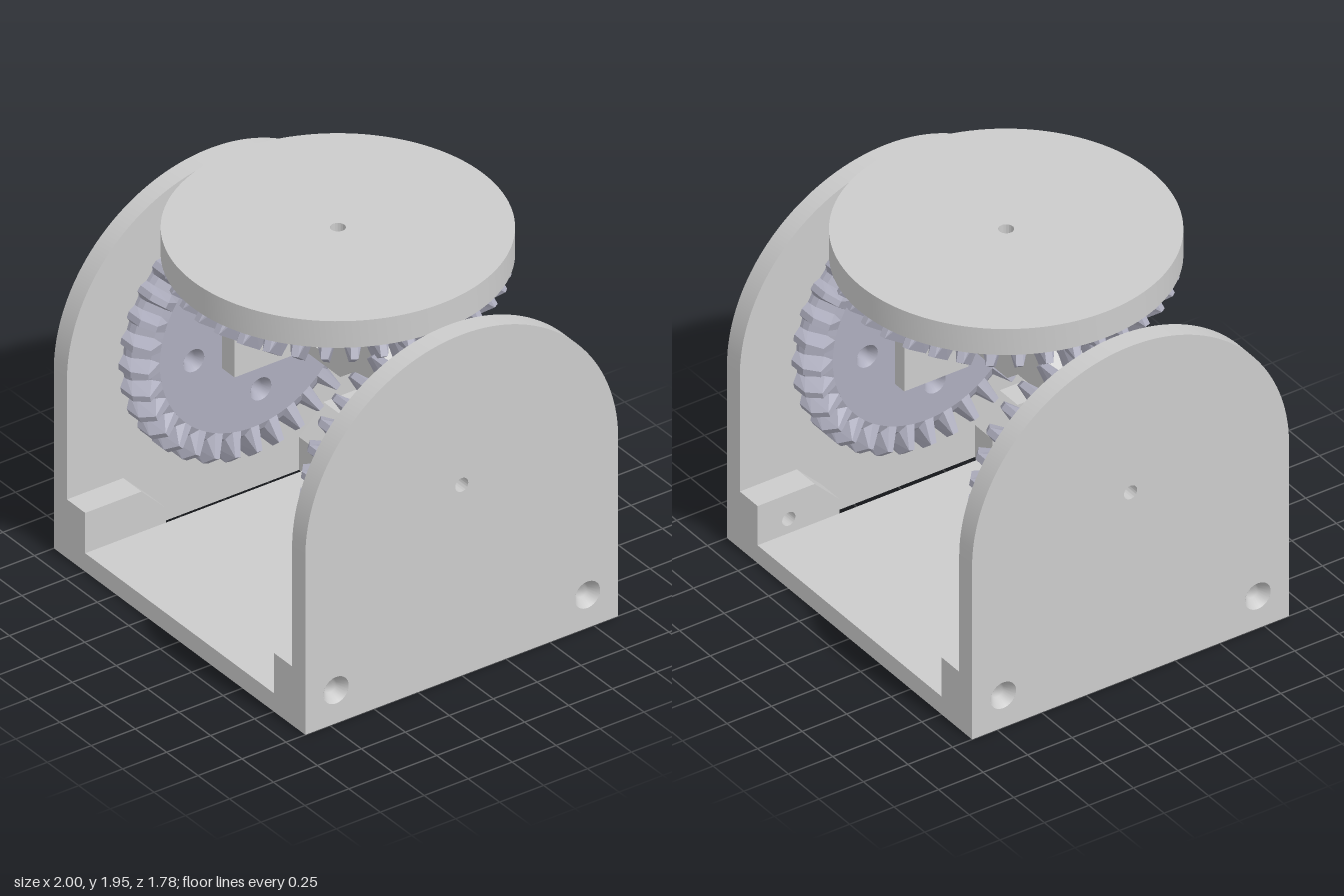
import * as THREE from 'three';
import { toCreasedNormals } from 'three/addons/utils/BufferGeometryUtils.js';

const grey = new THREE.MeshStandardMaterial({ color: 0xcccccc });
const greyOpen = new THREE.MeshStandardMaterial({ color: 0xcccccc, side: THREE.DoubleSide });
const gearMat = new THREE.MeshStandardMaterial({ color: 0xadadbd, flatShading: true });
const gearOpen = new THREE.MeshStandardMaterial({ color: 0xadadbd, side: THREE.DoubleSide });

const AXIS_Y = 1.04;   // height of the side gear axis
const OFF = 0.015;     // sideways offset of turntable and carriage
const BORE = 0.037;

function add(parent, name, geometry, material = grey) {
  const mesh = new THREE.Mesh(geometry, material);
  mesh.name = name;
  parent.add(mesh);
  return mesh;
}

// Outline from points, with round holes given as [x, y, radius]
function outline(points, holes = []) {
  const shape = new THREE.Shape(points.map(([x, y]) => new THREE.Vector2(x, y)));
  return drill(shape, holes);
}
function drill(shape, holes) {
  for (const [x, y, r] of holes) shape.holes.push(new THREE.Path().absarc(x, y, r, 0, Math.PI * 2, true));
  return shape;
}
function disc(radius, holes) {
  return drill(new THREE.Shape().absarc(0, 0, radius, 0, Math.PI * 2, false), holes);
}
function extrude(shape, depth, curveSegments = 32) {
  const g = new THREE.ExtrudeGeometry(shape, { depth, bevelEnabled: false, curveSegments });
  return toCreasedNormals(g, 0.5);
}
// Extrusion along x: the shape's x runs along -z
const extrudeX = (shape, depth, x) => extrude(shape, depth, 48).rotateY(Math.PI / 2).translate(x, 0, 0);

// Countersunk screw hole lining along +z, wide end at z = 0
function countersink(wide, narrow, sink, depth) {
  const pts = [[wide, 0], [narrow, sink], [narrow, depth], [wide, depth]].map(([r, y]) => new THREE.Vector2(r, y));
  return new THREE.LatheGeometry(pts, 24).rotateX(Math.PI / 2);
}

// Toothed ring around z: root and tip profiles are [radius, z] lists of equal length
function toothRing(teeth, root, tip) {
  const stations = [];
  const pitch = (Math.PI * 2) / teeth;
  for (let t = 0; t < teeth; t++) {
    for (const [f, profile] of [[-0.33, root], [-0.12, tip], [0.12, tip], [0.33, root]]) {
      const a = (t + f) * pitch;
      stations.push(profile.map(([r, z]) => [r * Math.cos(a), r * Math.sin(a), z]));
    }
  }
  const pos = [];
  stations.forEach((p, i) => {
    const q = stations[(i + 1) % stations.length];
    for (let k = 0; k < p.length - 1; k++) {
      pos.push(...p[k], ...q[k], ...q[k + 1], ...p[k], ...q[k + 1], ...p[k + 1]);
    }
  });
  const g = new THREE.BufferGeometry();
  g.setAttribute('position', new THREE.Float32BufferAttribute(pos, 3));
  g.computeVertexNormals();
  return g;
}

// Bevel gear with its back at z = 0 and its toothed face towards +z
function makeGear(name, teeth, root, tip, holeTurn) {
  const gear = new THREE.Group();
  gear.name = name;
  const [radius, thick] = root[root.length - 1];
  const holes = [0, 1, 2, 3].map((i) => {
    const a = holeTurn + (i * Math.PI) / 2;
    return [0.34 * Math.cos(a), 0.34 * Math.sin(a), 0.06];
  });
  add(gear, 'gearBody', extrude(disc(radius, [...holes, [0, 0, BORE]]), thick, 48), gearMat);
  add(gear, 'gearTeeth', toothRing(teeth, root, tip), gearMat);
  for (const [x, y] of holes) {
    const lining = add(gear, 'gearScrewHole', countersink(0.06, 0.033, 0.04, thick), gearOpen);
    lining.rotation.x = Math.PI;
    lining.position.set(x, y, thick);
  }
  return gear;
}

export function createModel() {
  const model = new THREE.Group();
  model.name = 'bevelGearTurntable';

  // Base floor between the side slots
  add(model, 'baseFloor', new THREE.BoxGeometry(1.5, 0.1, 1.78).translate(0, 0.05, 0));

  for (const s of [-1, 1]) {
    // Arched side plate with pivot hole and two screw holes
    const arch = new THREE.Shape();
    arch.moveTo(-0.89, 0);
    arch.lineTo(0.89, 0);
    arch.lineTo(0.89, 0.97);
    arch.absarc(0, 0.97, 0.89, 0, Math.PI, false);
    arch.closePath();
    drill(arch, [[0, AXIS_Y, BORE], [-0.715, 0.18, 0.072], [0.715, 0.18, 0.072]]);
    add(model, 'sidePlate', extrudeX(arch, 0.105, s > 0 ? 0.895 : -1));

    for (const e of [-1, 1]) {
      // Corner block with sloped inner end
      const block = outline([[0.89, 0], [0.89, 0.32], [0.57, 0.32], [0.43, 0.18], [0.43, 0]]
        .map(([z, y]) => [z * e, y]), [[0.715 * e, 0.18, BORE]]);
      add(model, 'cornerBlock', extrudeX(block, 0.145, s > 0 ? 0.75 : -0.895));

      const lining = add(model, 'plateScrewHole', countersink(0.072, BORE, 0.05, 0.105), greyOpen);
      lining.rotation.y = (-s * Math.PI) / 2;
      lining.position.set(s, 0.18, 0.715 * e);
    }

    // Side gear facing inwards
    const gear = makeGear('sideGear', 32,
      [[0.53, 0], [0.65, 0], [0.65, 0.02], [0.64, 0.05], [0.57, 0.11], [0.53, 0.125]],
      [[0.53, 0], [0.66, 0], [0.69, 0.02], [0.69, 0.115], [0.635, 0.18], [0.53, 0.125]], 0.13);
    gear.rotation.y = (-s * Math.PI) / 2;
    gear.position.set(s * 0.785, AXIS_Y, 0);
    model.add(gear);
  }

  // Turntable disc with the top gear beneath it
  const table = new THREE.Group();
  table.name = 'turntable';
  table.position.set(OFF, 1.8, 0);
  add(table, 'tableDisc', extrude(disc(0.82, [[0, 0, BORE]]), 0.145, 64).rotateX(-Math.PI / 2));
  const topGear = makeGear('topGear', 36,
    [[0.56, 0], [0.73, 0], [0.73, 0.03], [0.61, 0.11], [0.56, 0.125]],
    [[0.56, 0], [0.76, 0], [0.805, 0.075], [0.66, 0.18], [0.56, 0.125]], 0);
  topGear.rotation.x = Math.PI / 2;
  table.add(topGear);
  model.add(table);

  // Carriage that holds the three gears
  const carriage = new THREE.Group();
  carriage.name = 'carriage';
  carriage.position.x = OFF;
  const half = 0.18;
  for (const s of [-1, 1]) {
    const shoulder = outline([[0.177, 1.33], [0.27, 1.33], [0.357, 1.4], [0.67, 1.4], [0.67, 1.53], [0.55, 1.65], [0.177, 1.65]]
      .map(([x, y]) => [x * s, y]));
    add(carriage, 'carriageShoulder', extrude(shoulder, half * 2).translate(0, 0, -half));

    const low = s > 0 ? 0.78 : 0.9;
    const arm = outline([[-half, low], [half, low], [half, 1.4], [-half, 1.4]], [[0, AXIS_Y, BORE]]);
    add(carriage, 'carriageArm', extrudeX(arm, 0.1, s > 0 ? 0.57 : -0.67));
  }
  const web = outline([[-0.177, -half], [0.177, -half], [0.177, half], [-0.177, half]], [[0, 0, BORE]]);
  add(carriage, 'carriageWeb', extrude(web, 0.065).rotateX(-Math.PI / 2).translate(0, 1.33, 0));
  model.add(carriage);

  return model;
}
